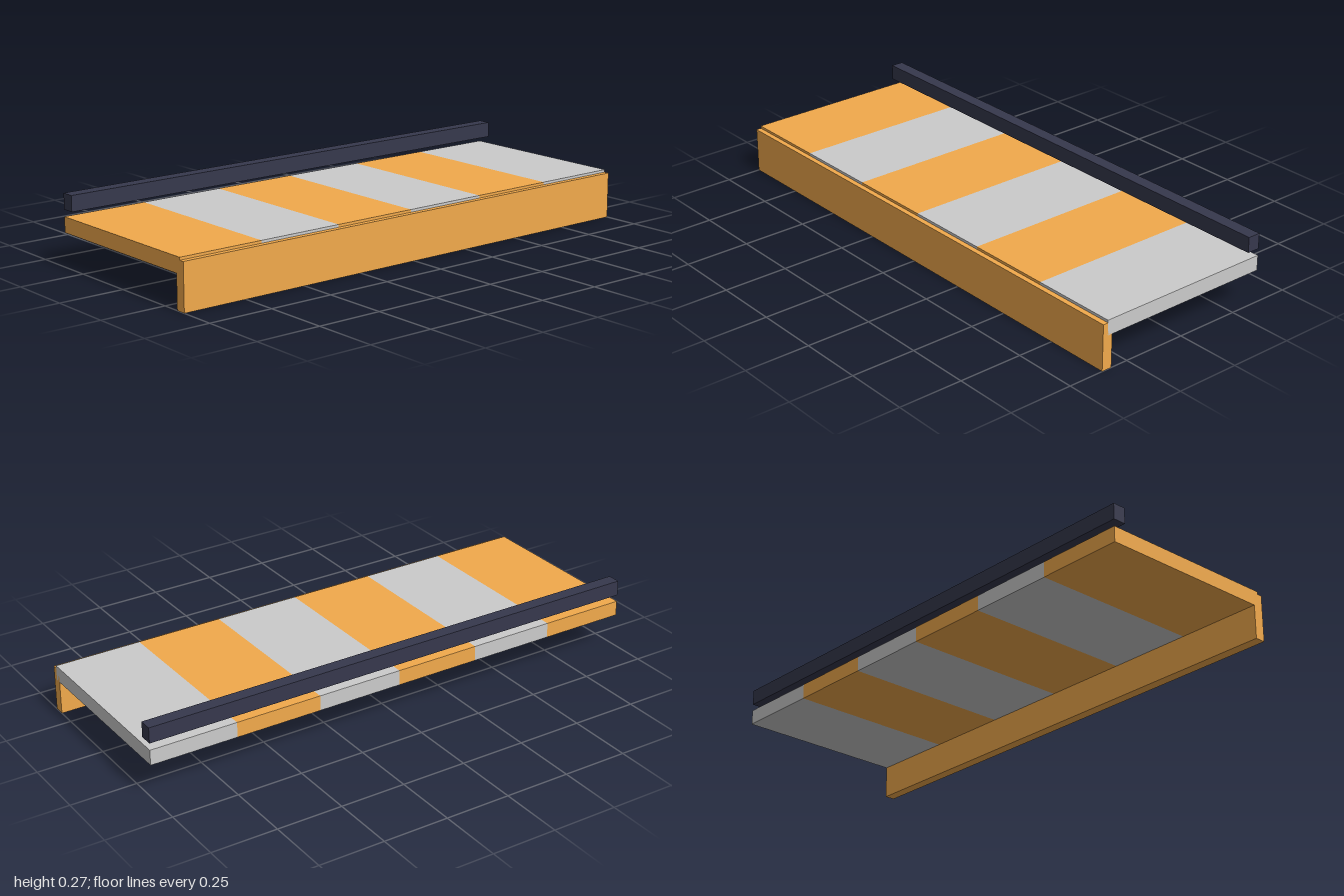
import * as THREE from 'three';

export function createModel() {
  const group = new THREE.Group();
  const grey = new THREE.MeshStandardMaterial({ color: 0xcccccc });
  const orange = new THREE.MeshStandardMaterial({ color: 0xf2aa4c });
  const navy = new THREE.MeshStandardMaterial({ color: 0x36384d });

  // Box given by its extents on each axis
  function box(name, material, [x0, x1], [y0, y1], [z0, z1]) {
    const mesh = new THREE.Mesh(new THREE.BoxGeometry(x1 - x0, y1 - y0, z1 - z0), material);
    mesh.position.set((x0 + x1) / 2, (y0 + y1) / 2, (z0 + z1) / 2);
    mesh.name = name;
    group.add(mesh);
  }

  // Awning canopy: six stripes in alternating colours
  const count = 6;
  const width = 2 / count;
  for (let i = 0; i < count; i++) {
    const x = -1 + i * width;
    box(`canopyStripe${i + 1}`, i % 2 ? grey : orange, [x, x + width], [0.127, 0.185], [-0.36, 0.34]);
  }

  // Hanging front valance
  box('frontValance', orange, [-1, 1], [0, 0.175], [0.32, 0.36]);

  // Mounting rail above the back edge
  box('backRail', navy, [-1, 1], [0.211, 0.27], [-0.36, -0.31]);

  return group;
}
